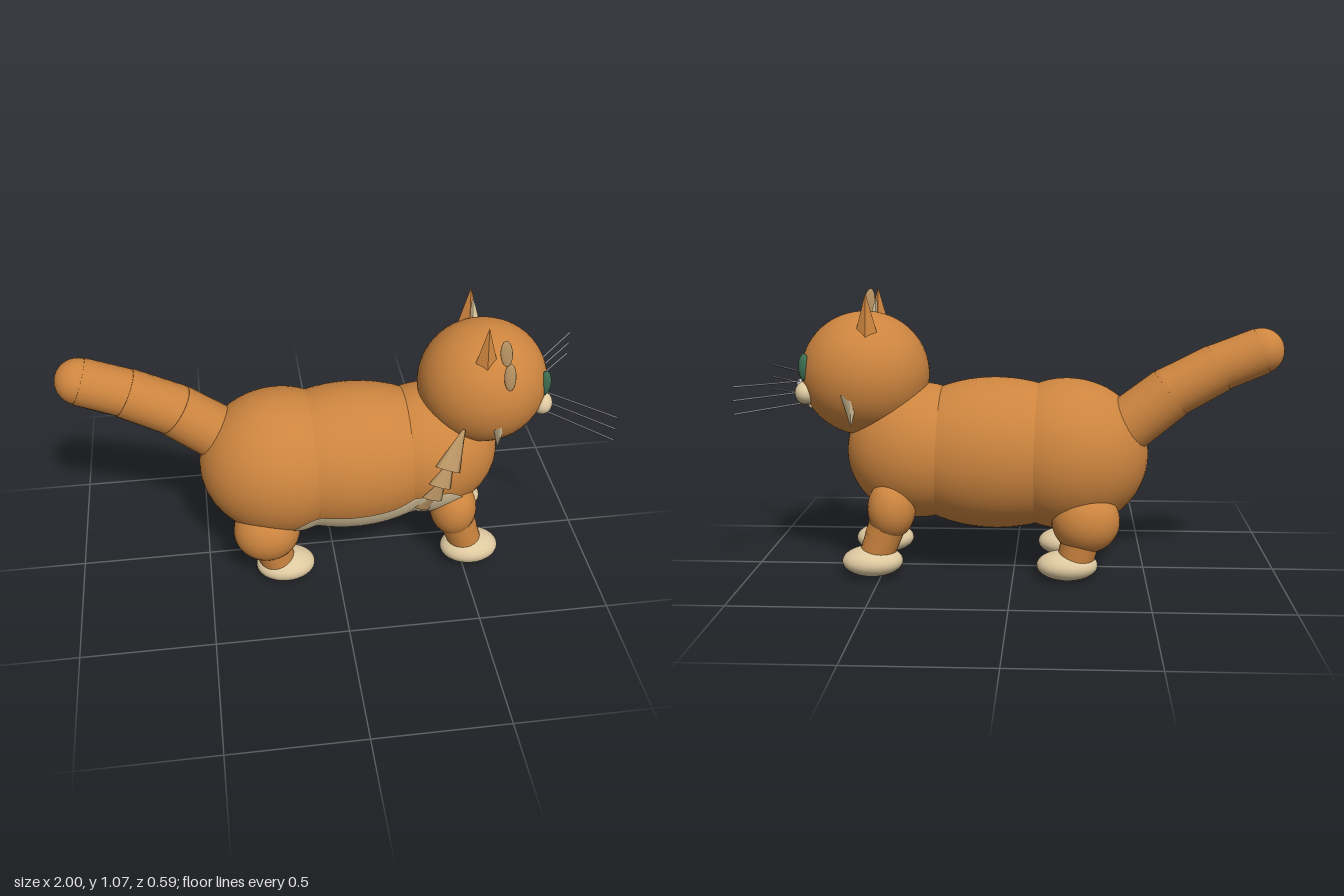
import * as THREE from 'three';

const mat = (name, color) => Object.assign(new THREE.MeshStandardMaterial({ color }), { name });

export function createModel() {
  const cat = new THREE.Group();
  cat.name = 'cat';
  const orange = mat('orange fur', 0xcd853f);
  const cream = mat('cream fur', 0xdec9a0);
  const tan = mat('tan fur', 0xc09a68);
  const green = mat('eye green', 0x3b6b50);
  const grey = mat('whisker grey', 0x808086);
  const silver = mat('nose silver', 0xc9c9d6);
  cream.side = tan.side = THREE.DoubleSide;

  const add = (name, geometry, material) => {
    const mesh = new THREE.Mesh(geometry, material);
    mesh.name = name;
    cat.add(mesh);
    return mesh;
  };
  const blob = (name, material, [x, y, z], [rx, ry, rz], detail = 32) => {
    const mesh = add(name, new THREE.SphereGeometry(1, detail, detail * 0.75), material);
    mesh.position.set(x, y, z);
    mesh.scale.set(rx, ry, rz);
    return mesh;
  };
  // Tapered round bar between two points
  const bar = (name, material, a, b, ra, rb = ra, sides = 24) => {
    const start = new THREE.Vector3(...a), end = new THREE.Vector3(...b);
    const dir = end.clone().sub(start);
    const mesh = add(name, new THREE.CylinderGeometry(rb, ra, dir.length(), sides), material);
    mesh.position.copy(start).add(end).multiplyScalar(0.5);
    mesh.quaternion.setFromUnitVectors(new THREE.Vector3(0, 1, 0), dir.normalize());
    return mesh;
  };

  // Body masses and head
  const masses = [
    ['rump', [-0.2, 0.455, 0], [0.31, 0.29, 0.27]],
    ['torso', [0.07, 0.457, 0], [0.43, 0.29, 0.265]],
    ['chest', [0.36, 0.465, 0], [0.28, 0.26, 0.24]],
    ['head', [0.566, 0.76, 0], [0.243, 0.236, 0.229]],
  ];
  masses.forEach(([name, centre, radii]) => blob(name, orange, centre, radii, 48));

  // Outer z of the body at a given x, y
  const surfaceZ = (x, y) => Math.max(...masses.map(([, c, r]) =>
    r[2] * Math.sqrt(Math.max(0, 1 - ((x - c[0]) / r[0]) ** 2 - ((y - c[1]) / r[1]) ** 2))));

  // Cream flank patch that follows the body
  const curve = (points) => new THREE.SplineCurve(points.map((p) => new THREE.Vector2(...p)));
  const upper = curve([[-0.18, 0.285], [-0.1, 0.34], [0.05, 0.345], [0.2, 0.36], [0.3, 0.4], [0.41, 0.415], [0.48, 0.36], [0.5, 0.31]]);
  const lower = curve([[-0.18, 0.285], [-0.11, 0.24], [0, 0.225], [0.12, 0.215], [0.24, 0.22], [0.36, 0.235], [0.44, 0.25], [0.5, 0.31]]);
  const patch = new THREE.PlaneGeometry(1, 1, 40, 12);
  const pos = patch.attributes.position, uv = patch.attributes.uv;
  for (let i = 0; i < pos.count; i++) {
    const p = lower.getPoint(uv.getX(i)).lerp(upper.getPoint(uv.getX(i)), uv.getY(i));
    pos.setXYZ(i, p.x, p.y, surfaceZ(p.x, p.y) + 0.006);
  }
  patch.computeVertexNormals();
  add('flankPatch', patch, cream);

  // Shaggy lock of overlapping flat tufts on the shoulder
  const lock = [[0.46, 0.68], [0.4, 0.53], [0.372, 0.46], [0.348, 0.395], [0.318, 0.325]];
  const widths = [0.05, 0.045, 0.04, 0.03];
  widths.forEach((w, i) => {
    const [a, b] = [lock[i], lock[i + 1]];
    const at = ([x, y]) => [x, y, surfaceZ(x, y) + 0.006];
    bar('shoulderTuft', tan, at(b), at(a), w, i ? w * 0.45 : 0.006, 8).scale.z = 0.25;
  });

  // Tail in three segments with a rounded tip
  const tail = [[-0.42, 0.57, -0.04], [-0.585, 0.7, -0.04], [-0.76, 0.795, -0.038], [-0.915, 0.858, -0.038]];
  const tailRadii = [0.106, 0.098, 0.09, 0.085];
  for (let i = 0; i < 3; i++) {
    bar('tailSegment', orange, tail[i], tail[i + 1], tailRadii[i], tailRadii[i + 1] + 0.003);
    blob('tailJoint', orange, tail[i + 1], Array(3).fill(tailRadii[i + 1]));
  }

  // Flat tan tufts beside the left ear
  blob('earTuft', tan, [0.583, 1.01, 0.214], [0.022, 0.055, 0.006], 12).rotation.z = 0.15;
  blob('earTuft', tan, [0.608, 0.905, 0.208], [0.022, 0.06, 0.008], 12).rotation.z = 0.1;

  for (const s of [1, -1]) {
    // Legs and paws
    blob('hindThigh', orange, [-0.273, 0.23, s * 0.145], [0.128, 0.122, 0.115]);
    bar('hindShin', orange, [-0.265, 0.2, s * 0.155], [-0.235, 0.08, s * 0.155], 0.075, 0.068);
    blob('hindPaw', cream, [-0.205, 0.06, s * 0.155], [0.115, 0.056, 0.088]);
    blob('frontShoulder', orange, [0.455, 0.27, s * 0.15], [0.09, 0.115, 0.095]);
    bar('frontShin', orange, [0.475, 0.2, s * 0.15], [0.515, 0.09, s * 0.15], 0.07, 0.064);
    blob('frontKnee', orange, [0.485, 0.175, s * 0.15], [0.07, 0.06, 0.068]);
    blob('frontPaw', cream, [0.53, 0.067, s * 0.155], [0.115, 0.057, 0.089]);

    // Pointed ears with pale insides
    const earShape = new THREE.ConeGeometry(1, 1, 4).toNonIndexed();
    earShape.computeVertexNormals();
    const ear = add('ear', earShape, orange);
    ear.position.set(0.535, 0.965, s * 0.143);
    ear.scale.set(0.06, 0.22, 0.036);
    const inner = add('innerEar', earShape, cream);
    inner.position.set(0.545, 0.955, s * 0.136);
    inner.scale.set(0.048, 0.16, 0.028);

    // Cheek tuft
    const cheek = add('cheekTuft', new THREE.ConeGeometry(0.035, 0.12, 4), cream);
    cheek.position.set(0.59, 0.65, s * 0.205);
    cheek.rotation.set(0, 0.4, Math.PI);
    cheek.scale.z = 0.45;

    // Eyes, muzzle and mouth
    blob('eye', green, [0.777, 0.795, s * 0.105], [0.022, 0.052, 0.022]);
    blob('muzzle', cream, [0.777, 0.698, s * 0.085], [0.042, 0.044, 0.054]);
    const smile = new THREE.QuadraticBezierCurve3(
      new THREE.Vector3(0.79, 0.675, s * 0.01), new THREE.Vector3(0.815, 0.635, s * 0.045),
      new THREE.Vector3(0.788, 0.655, s * 0.085));
    add('mouth', new THREE.TubeGeometry(smile, 12, 0.005, 6), orange);

    // Whiskers
    for (const k of [-1, 0, 1]) {
      bar('whisker', grey, [0.8, 0.7 + k * 0.042, s * 0.095], [0.998, 0.7 + k * 0.05, s * 0.29], 0.004, 0.004, 6);
    }
  }
  blob('nose', silver, [0.815, 0.72, 0], [0.02, 0.017, 0.014], 12);
  blob('chin', cream, [0.766, 0.637, -0.008], [0.02, 0.012, 0.038], 16);

  return cat;
}
